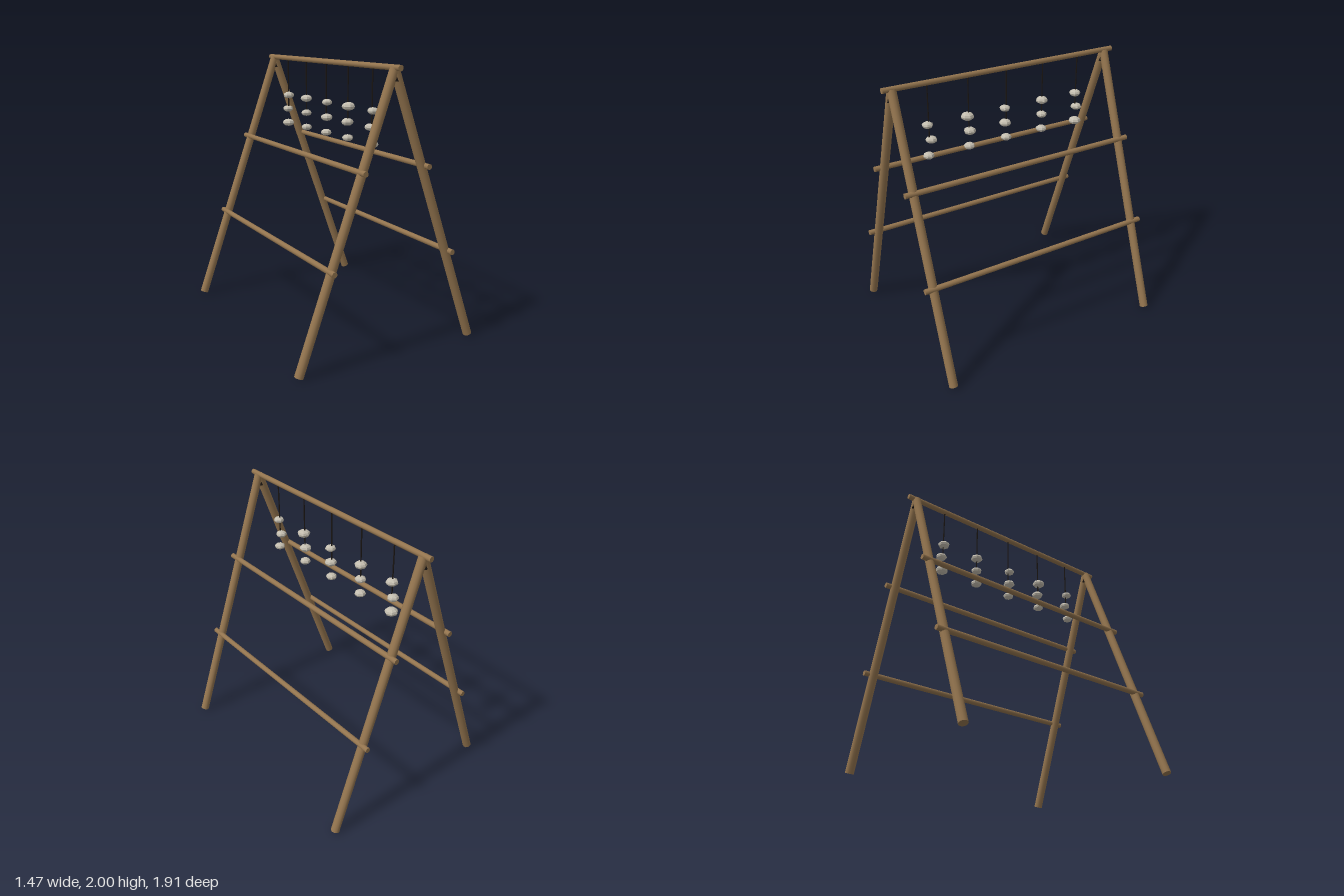
import * as THREE from 'three';

export function createModel() {
  const model = new THREE.Group();
  model.name = 'stoneChimeFrame';

  const makeMaterial = (name, color, flatShading = false) => {
    const m = new THREE.MeshStandardMaterial({ color, flatShading });
    m.name = name;
    return m;
  };
  const wood = makeMaterial('wood', 0x94754f);
  const cord = makeMaterial('darkCord', 0x1c1714);
  const stone = makeMaterial('paleStone', 0xc4beb0, true);

  const up = new THREE.Vector3(0, 1, 0);
  // Round bar between two points
  function bar(name, from, to, radius, sides, material) {
    const a = new THREE.Vector3(...from), b = new THREE.Vector3(...to);
    const dir = b.clone().sub(a);
    const mesh = new THREE.Mesh(
      new THREE.CylinderGeometry(radius, radius, dir.length(), sides), material);
    mesh.position.copy(a).add(b).multiplyScalar(0.5);
    mesh.quaternion.setFromUnitVectors(up, dir.normalize());
    mesh.name = name;
    model.add(mesh);
    return mesh;
  }

  // A-frame legs and the lashing under each apex
  for (const z of [-0.885, 0.885]) {
    const end = z > 0 ? 'front' : 'back';
    for (const s of [-1, 1]) {
      bar(`${end}${s > 0 ? 'Left' : 'Right'}Leg`, [s * 0.703, 0.011, z], [0, 1.975, z], 0.032, 12, wood);
    }
    const lashing = new THREE.Mesh(new THREE.CylinderGeometry(0.012, 0.026, 0.06, 8), cord);
    lashing.scale.z = 1.4;
    lashing.position.set(0, 1.925, z);
    lashing.name = `${end}Lashing`;
    model.add(lashing);
  }

  // Ridge pole and side rails
  const rail = (name, x, y) => bar(name, [x, y, -0.955], [x, y, 0.955], 0.02, 10, wood);
  rail('ridgePole', 0, 1.98);
  for (const s of [-1, 1]) {
    const side = s > 0 ? 'left' : 'right';
    rail(`${side}UpperRail`, s * 0.25, 1.325);
    rail(`${side}LowerRail`, s * 0.475, 0.695);
  }

  // Hanging cords, each with three flattened pebbles
  const rowHeights = [1.68, 1.567, 1.453];
  const rowOffsets = [ // small sideways drift of each pebble along z
    [0.01, 0.01, 0.012, 0, 0.005],
    [-0.015, -0.007, 0.01, 0, -0.012],
    [0.012, 0, 0.002, 0, -0.004],
  ];
  const halfWidths = [
    [0.04, 0.049, 0.04, 0.046, 0.044],
    [0.042, 0.045, 0.045, 0.041, 0.042],
    [0.041, 0.041, 0.041, 0.042, 0.048],
  ];
  const pebble = new THREE.SphereGeometry(1, 7, 6);
  for (let i = 0; i < 5; i++) {
    const z = 0.63 - i * 0.315;
    bar('hangingCord', [0, 1.57, z], [0, 1.97, z], 0.005, 6, cord);
    rowHeights.forEach((y, row) => {
      const r = halfWidths[row][i];
      const mesh = new THREE.Mesh(pebble, stone);
      mesh.scale.set(r, r * 0.62, r);
      mesh.rotation.y = i * 1.3 + row * 2.1;
      mesh.position.set(0, y, z + rowOffsets[row][i]);
      mesh.name = 'pebble';
      model.add(mesh);
    });
  }

  return model;
}
